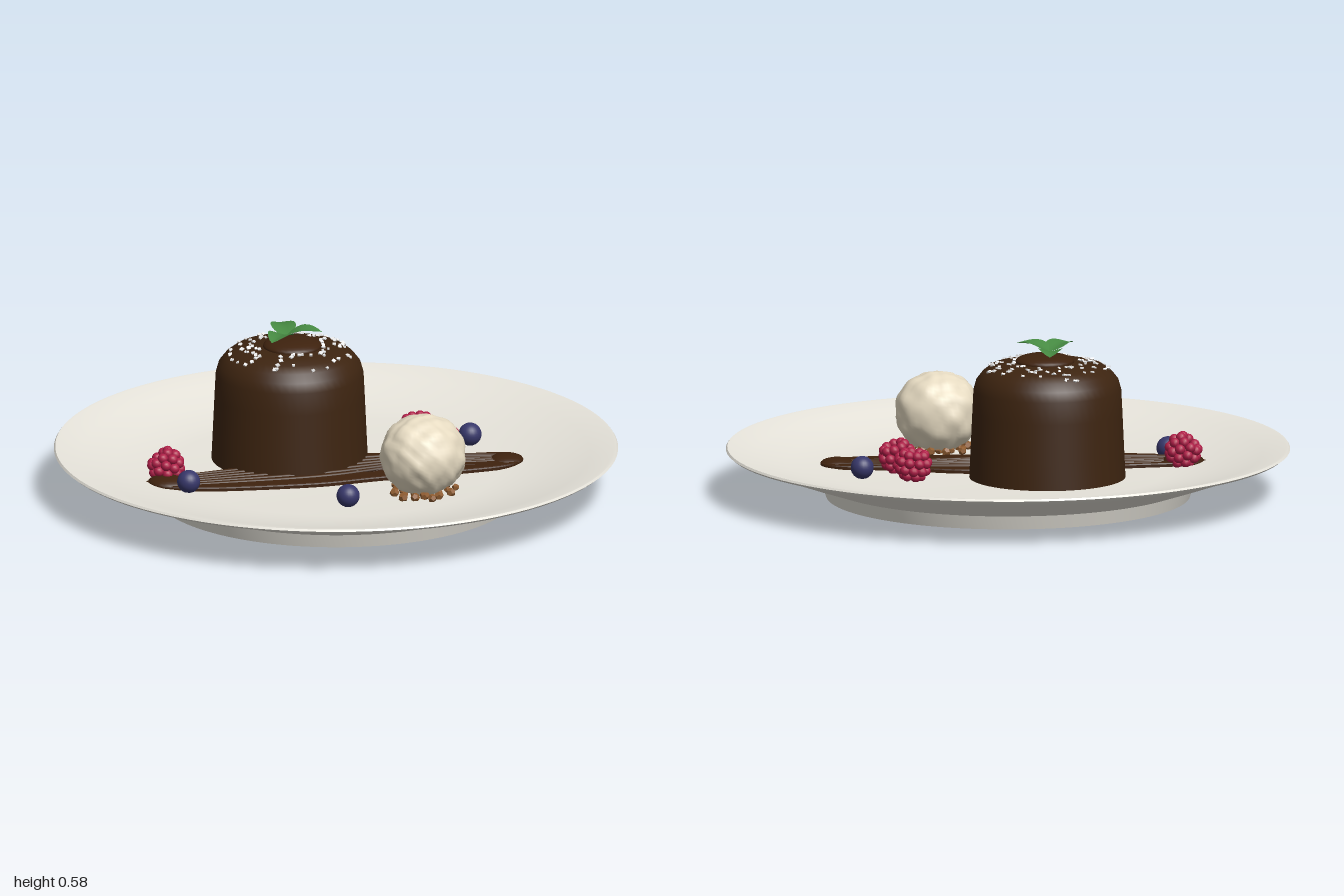
import * as THREE from 'three';
import { toCreasedNormals } from 'three/addons/utils/BufferGeometryUtils.js';

const mat = (name, color, extra = {}) => {
  const m = new THREE.MeshStandardMaterial({ color, ...extra });
  m.name = name;
  return m;
};
const v2 = (pts) => pts.map(([a, b]) => new THREE.Vector2(a, b));

export function createModel() {
  const root = new THREE.Group();
  root.name = 'platedDessert';
  const porcelain = mat('porcelain', 0xe9e6dd);
  const chocolate = mat('chocolate', 0x3d2410);
  const sauceMat = mat('chocolateSauce', 0x3e220e);
  const cream = mat('vanillaCream', 0xf1e5cb);
  const red = mat('raspberryRed', 0xad1d46);
  const blue = mat('blueberryBlue', 0x37376a);
  const green = mat('mintGreen', 0x468a42, { side: THREE.DoubleSide });
  const biscuit = mat('biscuitBrown', 0x8f5c30);
  const white = mat('sugarWhite', 0xf4f4f4);

  let seed = 7;
  const rand = () => (seed = (seed * 16807) % 2147483647) / 2147483647;
  const add = (name, geo, material, x = 0, y = 0, z = 0, parent = root) => {
    const m = new THREE.Mesh(geo, material);
    m.name = name;
    m.position.set(x, y, z);
    parent.add(m);
    return m;
  };
  const group = (name, x, y, z) => {
    const g = new THREE.Group();
    g.name = name;
    g.position.set(x, y, z);
    root.add(g);
    return g;
  };
  const lathe = (pts, n) => toCreasedNormals(new THREE.LatheGeometry(v2(pts), n), 0.6);

  // Plate: foot, sloping underside, thin rim and shallow well
  add('plate', lathe([
    [0, 0], [0.645, 0], [0.662, 0.05], [0.78, 0.09], [0.9, 0.133], [0.99, 0.16], [1, 0.168],
    [0.995, 0.175], [0.985, 0.174], [0.9, 0.152], [0.78, 0.122], [0.66, 0.102], [0.58, 0.096], [0, 0.095],
  ], 96), porcelain);

  // Sauce smear with brushed-out gaps along one edge
  const outline = new THREE.SplineCurve(v2([
    [-0.61, -0.36], [-0.52, -0.405], [-0.34, -0.375], [-0.02, -0.25], [0.17, -0.135], [0.35, -0.035],
    [0.57, 0.095], [0.63, 0.18], [0.61, 0.25], [0.53, 0.26], [0.35, 0.195], [0.09, 0.145],
    [-0.2, -0.03], [-0.4, -0.18], [-0.56, -0.29], [-0.61, -0.36],
  ]));
  const smear = new THREE.Shape(outline.getPoints(90));
  for (const gap of [
    [[0.07, -0.075], [0.13, -0.075], [0.2, -0.04], [0.13, -0.055]],
    [[0.2, -0.03], [0.33, 0.025], [0.5, 0.095], [0.36, 0.055], [0.22, 0.0]],
    [[0.12, -0.035], [0.2, -0.015], [0.17, -0.012]],
  ]) smear.holes.push(new THREE.Path(v2(gap)));
  const smearGeo = new THREE.ExtrudeGeometry(smear, {
    depth: 0.012, bevelThickness: 0.006, bevelSize: 0.006, bevelOffset: -0.006, bevelSegments: 2,
  }).rotateX(-Math.PI / 2);
  add('sauceSmear', smearGeo, sauceMat, 0, 0.094, 0);
  for (const [x, z, r] of [[-0.53, 0.335, 0.075], [0.575, -0.195, 0.06]])
    add('sauceEnd', new THREE.SphereGeometry(r, 20, 12).scale(1, 0.35, 1), sauceMat, x, 0.105, z);
  for (let i = 0; i < 6; i++) { // raised brush ridges
    const s = (i - 2.5) * 0.025;
    const ridge = new THREE.CatmullRomCurve3([
      new THREE.Vector3(-0.48, 0.11, 0.32 + s), new THREE.Vector3(0, 0.112, 0.06 + s * 1.6),
      new THREE.Vector3(0.27, 0.112, -0.1 + s), new THREE.Vector3(0.54, 0.11, -0.19 + s * 0.6),
    ]);
    add('sauceRidge', new THREE.TubeGeometry(ridge, 24, 0.006, 6), sauceMat);
  }

  // Chocolate cake with rounded shoulder and a pool on top
  const cake = group('cake', -0.187, 0, -0.08);
  const profile = [
    [0, 0.095], [0.277, 0.095], [0.272, 0.2], [0.266, 0.33], [0.262, 0.41], [0.252, 0.445],
    [0.23, 0.473], [0.2, 0.495], [0.15, 0.507], [0, 0.512],
  ];
  add('cakeBody', lathe(profile, 56), chocolate, 0, 0, 0, cake);
  add('cakePool', new THREE.SphereGeometry(0.105, 28, 14).scale(1, 0.27, 1), sauceMat, 0.01, 0.51, 0, cake);

  // Sugar flecks scattered over the shoulder
  const topY = (r) => (r < 0.15 ? 0.509 : r < 0.2 ? 0.507 - (r - 0.15) * 0.24 : 0.495 - (r - 0.2) * 0.73);
  for (let i = 0; i < 95; i++) {
    const a = rand() * Math.PI * 2, r = 0.115 + 0.115 * rand(), s = 0.008 + 0.006 * rand();
    const f = add('sugarFleck', new THREE.BoxGeometry(s, 0.006, s), white,
      r * Math.cos(a), topY(r) + 0.002, r * Math.sin(a), cake);
    f.rotation.set(rand() * 0.5, rand() * 3, rand() * 0.5);
  }

  // Mint leaves: folded blades tapering to a point
  const leafGeo = new THREE.PlaneGeometry(1, 1, 10, 6).rotateX(-Math.PI / 2);
  const lp = leafGeo.attributes.position;
  for (let i = 0; i < lp.count; i++) {
    const t = lp.getX(i) + 0.5, w = lp.getZ(i) * 2;
    const half = 0.045 * Math.pow(Math.sin(Math.PI * Math.pow(t, 0.8)), 0.75);
    lp.setXYZ(i, t * 0.14, 0.012 * Math.abs(w) * Math.sin(Math.PI * t) + 0.012 * Math.sin(Math.PI * t), w * half);
  }
  leafGeo.computeVertexNormals();
  [[0, 0.2], [1.95, 0.06], [-1.75, 0.08]].forEach(([turn, lift], i) => {
    const leaf = add('mintLeaf', leafGeo, green, -0.02 + i * 0.006, 0.541 + i * 0.003, 0, cake);
    leaf.rotation.set(0, turn, lift, 'YXZ');
  });

  // Lumpy scoop of ice cream
  const scoopGeo = new THREE.SphereGeometry(1, 48, 32);
  const sp = scoopGeo.attributes.position;
  const p = new THREE.Vector3();
  for (let i = 0; i < sp.count; i++) {
    p.fromBufferAttribute(sp, i);
    const lump = Math.sin(p.x * 7 + 1) * Math.sin(p.y * 8 + 2) * Math.sin(p.z * 7 + 0.5)
      + 0.4 * Math.sin(p.x * 15 + p.y * 9) * Math.sin(p.z * 14 - p.y * 6);
    p.multiplyScalar(0.151 + 0.007 * lump);
    sp.setXYZ(i, p.x, p.y * 0.95, p.z);
  }
  scoopGeo.computeVertexNormals();
  add('iceCreamScoop', scoopGeo, cream, 0.367, 0.235, 0.22);

  // Biscuit crumbs under the scoop
  for (let i = 0; i < 28; i++) {
    const a = i * 2.4, r = 0.12 * Math.sqrt((i + 1) / 28);
    const c = add('biscuitCrumb', new THREE.DodecahedronGeometry(0.012 + 0.006 * rand()), biscuit,
      0.367 + r * Math.cos(a), 0.107, 0.22 + r * Math.sin(a));
    c.rotation.set(rand() * 3, rand() * 3, rand() * 3);
  }

  // Raspberries: rings of small beads around a hollow centre
  const bead = new THREE.SphereGeometry(0.0185, 12, 8);
  const raspberry = (x, y, z, tilt, turn) => {
    const berry = group('raspberry', x, y, z);
    berry.rotation.set(0, turn, tilt);
    add('raspberryCore', new THREE.SphereGeometry(0.036, 14, 10), red, 0, -0.012, 0, berry);
    [[0.03, -0.04, 6], [0.046, -0.018, 9], [0.05, 0.01, 9], [0.038, 0.035, 8]].forEach(([r, h, n], k) => {
      for (let i = 0; i < n; i++) {
        const a = ((i + k / 2) / n) * Math.PI * 2;
        add('raspberryBead', bead, red, r * Math.cos(a), h, r * Math.sin(a), berry);
      }
    });
  };
  raspberry(0.22, 0.153, -0.335, 0.1, 0.3);
  raspberry(0.33, 0.155, -0.225, -0.35, 0.8);
  raspberry(-0.55, 0.152, 0.29, 0.7, 0.2);

  // Blueberries
  for (const [x, z] of [[0.402, -0.37], [-0.443, 0.402], [0.145, 0.438]])
    add('blueberry', new THREE.SphereGeometry(0.041, 24, 16), blue, x, 0.134, z);

  return root;
}
